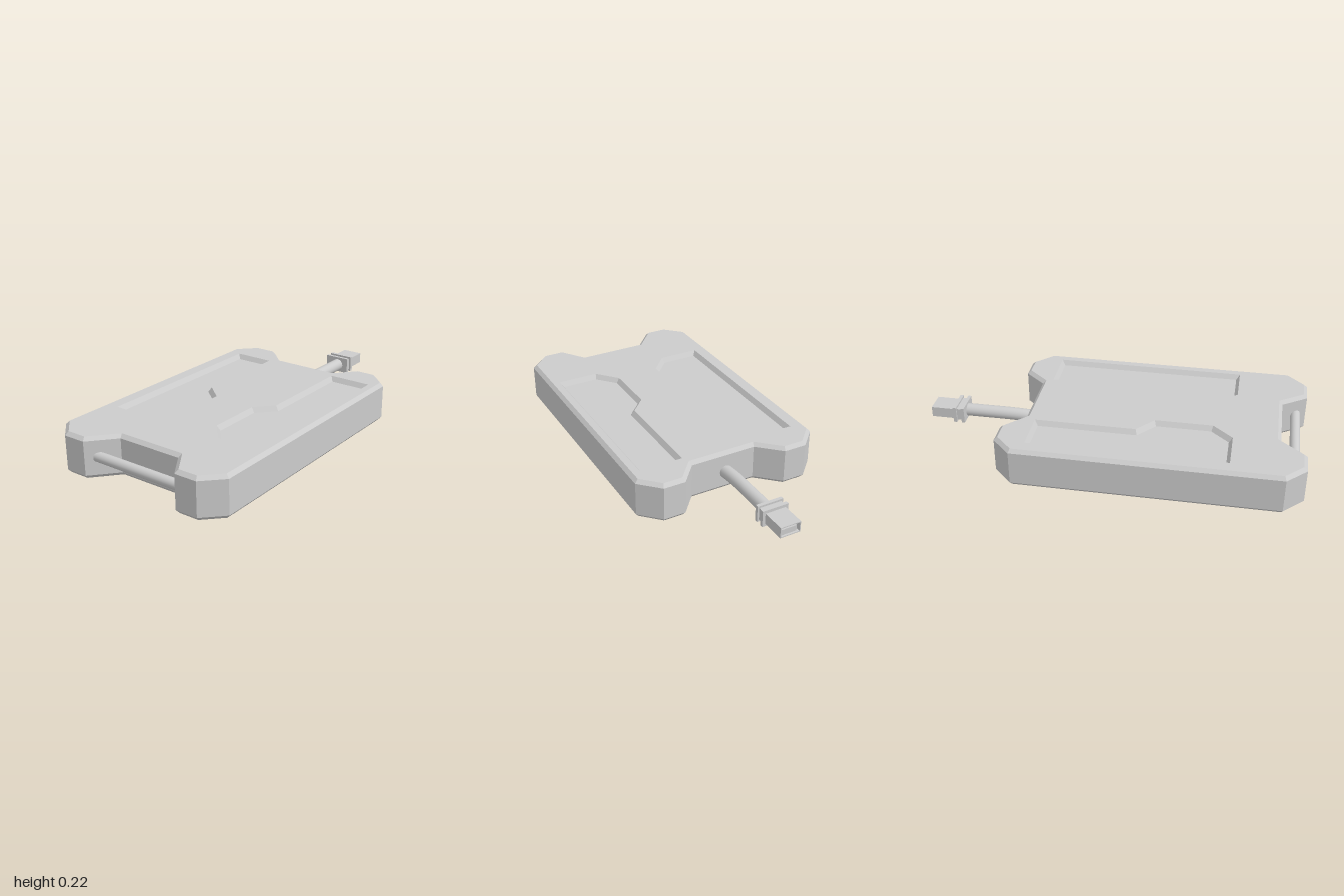
import * as THREE from 'three';
import { mergeGeometries } from 'three/addons/utils/BufferGeometryUtils.js';

const grey = new THREE.MeshStandardMaterial({ color: 0xcccccc, side: THREE.DoubleSide });
const V = (x, y) => new THREE.Vector2(x, y);

// Plan outline given as [x, z]; returned counter-clockwise seen from above (y = -z).
function loop(points) {
  const pts = points.map(([x, z]) => V(x, -z));
  return THREE.ShapeUtils.isClockWise(pts) ? pts.reverse() : pts;
}

// Mitred inward offset of a counter-clockwise loop.
function inset(pts, d) {
  const n = pts.length;
  return pts.map((p, i) => {
    const e = p.clone().sub(pts[(i + n - 1) % n]).normalize();
    const f = pts[(i + 1) % n].clone().sub(p).normalize();
    const a = V(-e.y, e.x), b = V(-f.y, f.x);
    return p.clone().add(a.clone().add(b).multiplyScalar(d / (1 + a.dot(b))));
  });
}

// Flat-shaded strip of quads between two matching loops.
function band(a, ya, b, yb) {
  const pos = [];
  const put = (p, y) => pos.push(p.x, y, -p.y);
  a.forEach((p, i) => {
    const j = (i + 1) % a.length;
    put(p, ya); put(a[j], ya); put(b[j], yb);
    put(p, ya); put(b[j], yb); put(b[i], yb);
  });
  const g = new THREE.BufferGeometry();
  g.setAttribute('position', new THREE.Float32BufferAttribute(pos, 3));
  g.computeVertexNormals();
  return g;
}

// Horizontal face, optionally with holes, facing up or down.
function cap(pts, y, up, holes = []) {
  const shape = new THREE.Shape(pts);
  shape.holes = holes.map((h) => new THREE.Path(h));
  let g = new THREE.ShapeGeometry(shape);
  if (!up) g.index.array.reverse();
  g = g.toNonIndexed();
  g.deleteAttribute('uv');
  g.rotateX(-Math.PI / 2).translate(0, y, 0);
  g.computeVertexNormals();
  return g;
}

function createModel() {
  const group = new THREE.Group();
  const add = (name, geometry, x = 0, y = 0, z = 0) => {
    const mesh = new THREE.Mesh(geometry, grey);
    mesh.name = name;
    mesh.position.set(x, y, z);
    group.add(mesh);
    return mesh;
  };
  const box = (name, x0, x1, y0, y1, z0, z1) => add(name,
    new THREE.BoxGeometry(x1 - x0, y1 - y0, z1 - z0), (x0 + x1) / 2, (y0 + y1) / 2, (z0 + z1) / 2);

  // Case: chamfered block with a notch at each end
  const outline = loop([
    [-0.9, -0.5], [0.45, -0.5], [0.55, -0.4], [0.55, -0.28], [0.44, -0.165], [0.44, 0.19],
    [0.55, 0.285], [0.55, 0.4], [0.45, 0.5], [-0.9, 0.5], [-1, 0.4], [-1, 0.28],
    [-0.87, 0.19], [-0.87, -0.165], [-1, -0.28], [-1, -0.4],
  ]);
  const rim = inset(outline, 0.018);
  // Recessed panels, repeated on top and underside
  const panels = [
    loop([[-0.63, -0.42], [0.385, -0.42], [0.385, -0.205], [-0.14, -0.205],
      [-0.225, -0.105], [-0.525, -0.105], [-0.63, -0.2]]),
    loop([[-0.63, 0.445], [0.385, 0.445], [0.385, 0.215], [-0.145, 0.215],
      [-0.235, 0.13], [-0.52, 0.13], [-0.63, 0.225]]),
  ];
  const top = 0.215, depth = 0.025;
  add('case', mergeGeometries([
    band(rim, 0, outline, 0.02),
    band(outline, 0.02, outline, 0.197),
    band(outline, 0.197, rim, top),
    cap(rim, top, true, panels),
    cap(rim, 0, false, panels),
  ]));
  panels.forEach((p, i) => {
    const floor = inset(p, 0.018);
    const side = i ? 'Front' : 'Back';
    add('topPanel' + side, mergeGeometries([
      band(p, top, floor, top - depth), cap(floor, top - depth, true)]));
    add('bottomPanel' + side, mergeGeometries([
      band(floor, depth, p, 0), cap(floor, depth, false)]));
  });

  // Carrying bar across the notch at the -x end
  const bar = add('handleBar', new THREE.CylinderGeometry(0.026, 0.026, 0.51, 24), -0.945, 0.11, 0.005);
  bar.rotation.x = Math.PI / 2;

  // Cable, dipping slightly where it enters the case
  const path = new THREE.CatmullRomCurve3([
    [0.42, 0.1, -0.002], [0.5, 0.107, -0.004], [0.58, 0.11, -0.005], [0.7, 0.11, -0.005], [0.82, 0.11, -0.005],
  ].map((p) => new THREE.Vector3(...p)));
  add('cable', new THREE.TubeGeometry(path, 24, 0.034, 24));

  // Connector collar: two flanges and a narrower core
  box('collarRear', 0.815, 0.832, 0.069, 0.156, -0.08, 0.06);
  box('collarCore', 0.832, 0.858, 0.08, 0.145, -0.07, 0.05);
  box('collarFront', 0.858, 0.876, 0.069, 0.156, -0.08, 0.06);

  // Plug: open shell with an inner tongue
  const rect = (x0, x1, y0, y1) => [V(x0, y0), V(x1, y0), V(x1, y1), V(x0, y1)];
  const shell = new THREE.Shape(rect(-0.045, 0.065, 0.083, 0.14));
  shell.holes.push(new THREE.Path(rect(-0.04, 0.06, 0.088, 0.135)));
  const plug = add('plugShell', new THREE.ExtrudeGeometry(shell, { depth: 0.13, bevelEnabled: false }), 0.87);
  plug.rotation.y = Math.PI / 2;
  box('plugTongue', 0.87, 0.99, 0.088, 0.118, -0.05, 0.035);

  return group;
}

export { createModel };
